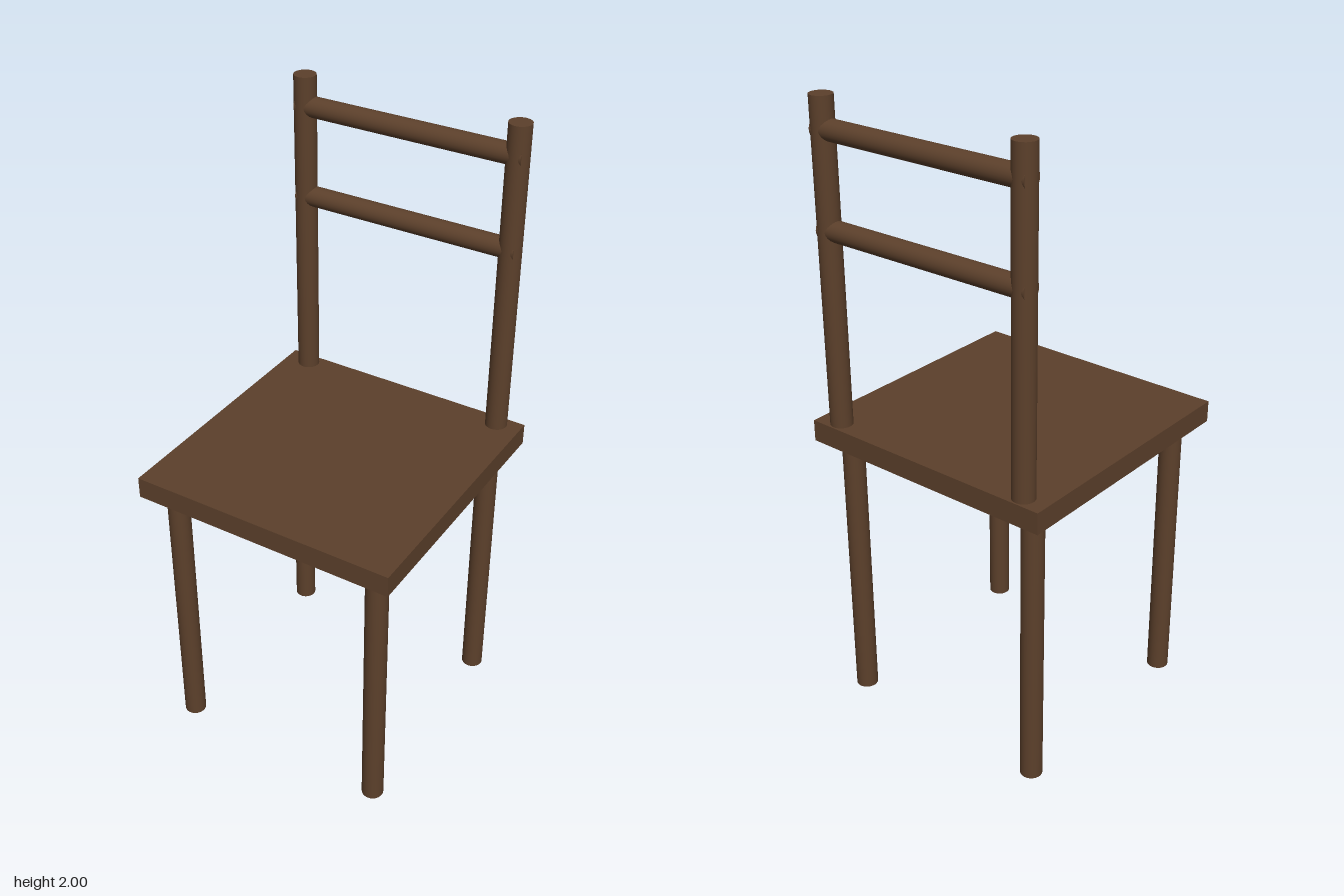
import * as THREE from 'three';

export function createModel() {
  const chair = new THREE.Group();
  chair.name = 'chair';
  const wood = new THREE.MeshStandardMaterial({ color: 0x5c402b });

  const add = (name, geometry, x, y, z) => {
    const mesh = new THREE.Mesh(geometry, wood);
    mesh.name = name;
    mesh.position.set(x, y, z);
    chair.add(mesh);
    return mesh;
  };

  const seatTop = 0.997, seatThickness = 0.069, seatWidth = 0.864;
  const seatBottom = seatTop - seatThickness;
  const poleRadius = 0.035, poleX = 0.352, legZ = 0.35, postZ = -0.392;

  // Square seat board
  add('seat', new THREE.BoxGeometry(seatWidth, seatThickness, seatWidth),
    0, seatTop - seatThickness / 2, 0);

  // Four legs, and two back posts standing on the seat
  const legGeometry = new THREE.CylinderGeometry(poleRadius, poleRadius, seatBottom, 24);
  const postHeight = 2 - seatTop;
  const postGeometry = new THREE.CylinderGeometry(poleRadius, poleRadius, postHeight, 24);
  for (const [side, sign] of [['left', 1], ['right', -1]]) {
    add(side + 'FrontLeg', legGeometry, sign * poleX, seatBottom / 2, legZ);
    add(side + 'BackLeg', legGeometry, sign * poleX, seatBottom / 2, -legZ);
    add(side + 'BackPost', postGeometry, sign * poleX, seatTop + postHeight / 2, postZ);
  }

  // Two round rails running into the posts
  const railGeometry = new THREE.CylinderGeometry(0.032, 0.032, 0.748, 24).rotateZ(Math.PI / 2);
  add('upperRail', railGeometry, 0, 1.903, postZ);
  add('lowerRail', railGeometry, 0, 1.613, postZ);

  return chair;
}
